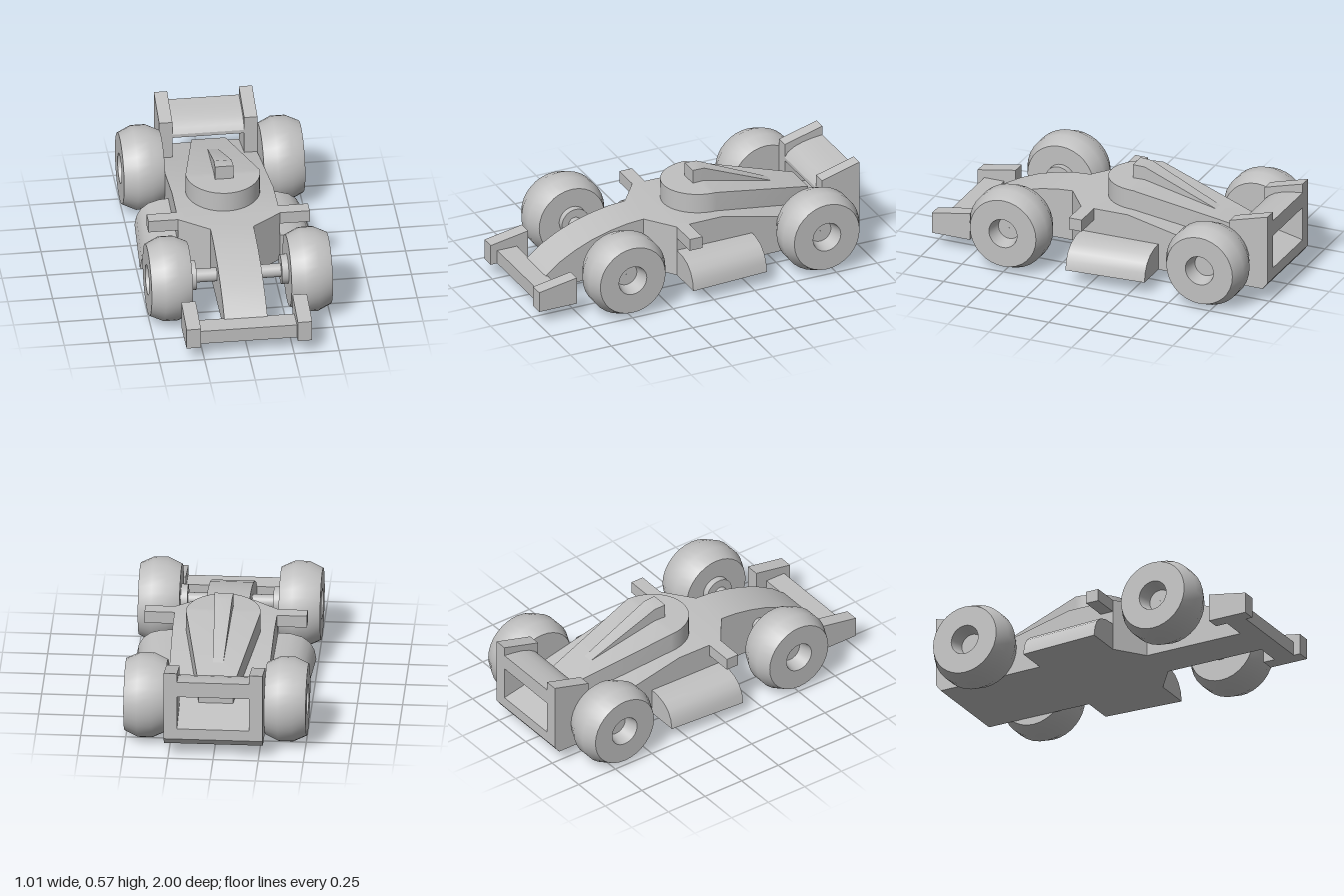
import * as THREE from 'three';
import { toCreasedNormals } from 'three/addons/utils/BufferGeometryUtils.js';

const grey = new THREE.MeshStandardMaterial({ color: 0xc0c0c0 });
grey.name = 'light grey';

// Closed skin through rings [z, [[x, y], ...]], ordered front to back;
// each ring runs anticlockwise as seen from the front.
function loft(rings, crease = 0.5) {
  const pos = [];
  const tri = (...pts) => pts.forEach((p) => pos.push(...p));
  const r = rings.map(([z, pts]) => pts.map(([x, y]) => [x, y, z]));
  const n = r[0].length;
  for (let i = 0; i < r.length - 1; i++) {
    for (let j = 0; j < n; j++) {
      const k = (j + 1) % n;
      tri(r[i][j], r[i + 1][j], r[i + 1][k]);
      tri(r[i][j], r[i + 1][k], r[i][k]);
    }
  }
  const last = r[r.length - 1];
  for (let j = 1; j < n - 1; j++) {
    tri(r[0][0], r[0][j], r[0][j + 1]);
    tri(last[0], last[j + 1], last[j]);
  }
  const g = new THREE.BufferGeometry();
  g.setAttribute('position', new THREE.Float32BufferAttribute(pos, 3));
  return toCreasedNormals(g, crease);
}

const rect = (x0, x1, b, t) => [[x0, b], [x1, b], [x1, t], [x0, t]];

// Symmetric loft from stations [z, half width, bottom, top]
const slab = (stations) => loft(stations.map(([z, w, b, t]) => [z, rect(-w, w, b, t)]));

// Flip rings to the other side when side is -1
const flip = (rings, side) => side > 0 ? rings
  : rings.map(([z, pts]) => [z, pts.map(([x, y]) => [-x, y]).reverse()]);

export function createModel() {
  const model = new THREE.Group();
  model.name = 'racingCar';
  const add = (name, geometry, x = 0, y = 0, z = 0) => {
    const mesh = new THREE.Mesh(geometry, grey);
    mesh.name = name;
    mesh.position.set(x, y, z);
    model.add(mesh);
  };

  // Main body with curved nose, flared shoulders and falling tail
  add('body', slab([
    [0.85, 0.12, 0.08, 0.16], [0.77, 0.12, 0.08, 0.225], [0.67, 0.12, 0.08, 0.28],
    [0.56, 0.12, 0.08, 0.325], [0.45, 0.12, 0.08, 0.355], [0.35, 0.12, 0.08, 0.373],
    [0.25, 0.12, 0.08, 0.38], [0.125, 0.285, 0.08, 0.38], [-0.155, 0.282, 0.08, 0.38],
    [-0.77, 0.272, 0.08, 0.235], [-0.97, 0.272, 0.08, 0.19], [-1, 0.272, 0.12, 0.183],
  ]));

  // Engine cover: elliptical front, tapering wedge behind
  const cover = [];
  for (let i = 0; i <= 10; i++) {
    const a = (i / 10) * Math.PI / 2;
    cover.push([-0.155 + 0.225 * Math.cos(a), Math.max(0.002, 0.207 * Math.sin(a)), 0.2, 0.495]);
  }
  cover.push([-0.77, 0.095, 0.2, 0.34]);
  add('engineCover', slab(cover));

  // Air intake fin
  add('airIntake', slab([
    [-0.085, 0.052, 0.45, 0.575], [-0.155, 0.049, 0.42, 0.572], [-0.59, 0.028, 0.32, 0.383],
  ]));

  // Wings spanning the car
  add('frontWing', new THREE.BoxGeometry(0.56, 0.08, 0.12), 0, 0.12, 0.9);
  add('rearWing', slab([
    [-0.77, 0.21, 0.36, 0.38], [-0.79, 0.21, 0.358, 0.41], [-0.83, 0.21, 0.36, 0.435],
    [-0.88, 0.21, 0.365, 0.452], [-0.94, 0.21, 0.372, 0.463], [-1, 0.21, 0.38, 0.47],
  ]));

  // Wheel profile: inner face, rounded tread, outer face, tapered hub recess
  const tyre = [
    [0.001, -0.115], [0.2, -0.115], [0.235, -0.04], [0.235, 0.04],
    [0.2, 0.115], [0.085, 0.115], [0.065, 0.03], [0.001, 0.03],
  ].map(([r, y]) => new THREE.Vector2(r, y));

  for (const side of [1, -1]) {
    const name = side > 0 ? 'left' : 'right';
    const turn = -side * Math.PI / 2;

    for (const [end, z] of [['Front', 0.5], ['Rear', -0.69]]) {
      const wheel = toCreasedNormals(new THREE.LatheGeometry(tyre, 32), 0.7);
      add(name + end + 'Wheel', wheel.rotateZ(turn), side * 0.39, 0.235, z);
    }
    add(name + 'Axle', new THREE.CylinderGeometry(0.038, 0.038, 0.16, 24).rotateZ(turn),
      side * 0.18, 0.24, 0.5);
    add(name + 'Hub', new THREE.CylinderGeometry(0.083, 0.083, 0.045, 32).rotateZ(turn),
      side * 0.26, 0.243, 0.495);

    // End plates
    add(name + 'FrontEndPlate', loft(flip([
      [1, rect(0.27, 0.35, 0.08, 0.2)], [0.77, rect(0.27, 0.35, 0.08, 0.24)],
    ], side)));
    add(name + 'RearEndPlate', loft(flip([
      [-0.77, rect(0.2, 0.274, 0.08, 0.46)], [-0.97, rect(0.2, 0.274, 0.08, 0.515)],
      [-1, rect(0.2, 0.274, 0.12, 0.523)],
    ], side)));

    // Rounded side pod, narrowing to the rear
    const pod = (d) => [[0.25, 0.08], [0.497 - d, 0.08], [0.487 - d, 0.135],
      [0.462 - d, 0.18], [0.42 - d, 0.213], [0.36 - d, 0.231], [0.28, 0.235], [0.25, 0.235]];
    add(name + 'SidePod', loft(flip([[0.125, pod(0)], [-0.34, pod(0.03)]], side), 0.7));

    // Shoulder arm
    add(name + 'ShoulderArm', new THREE.BoxGeometry(0.2, 0.07, 0.077), side * 0.35, 0.345, 0.0865);
  }
  return model;
}
